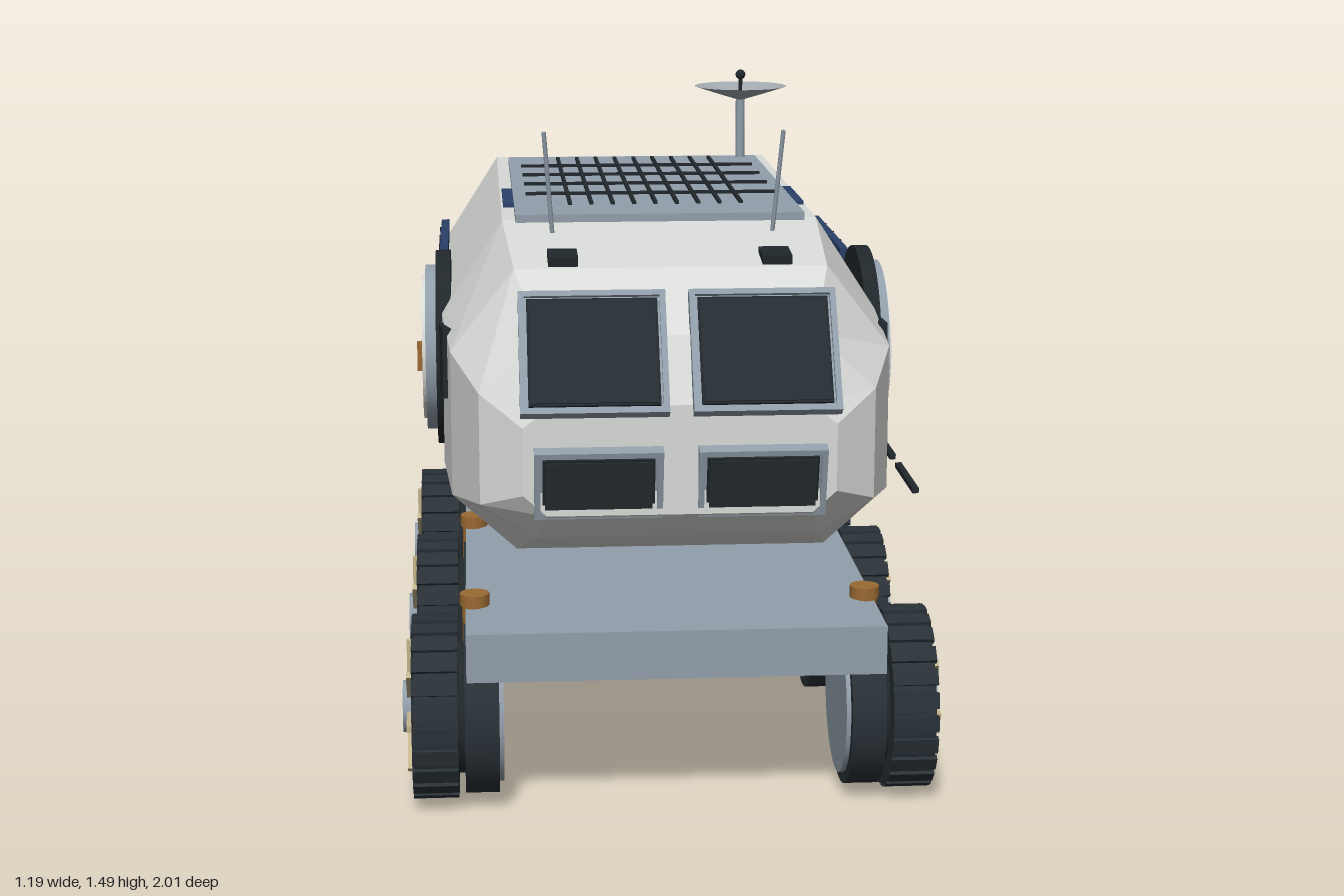
import * as THREE from 'three';

const mat = (name, color, extra = {}) => {
  const m = new THREE.MeshStandardMaterial({ color, ...extra });
  m.name = name;
  return m;
};
const M = {
  hull: mat('hull white', 0xd8dad7, { flatShading: true }),
  grey: mat('blue grey metal', 0x919eaa),
  dish: mat('dish grey', 0xa3abb1, { side: THREE.DoubleSide }),
  dark: mat('dark trim', 0x20272b),
  glass: mat('window glass', 0x262d32),
  tyre: mat('tyre', 0x293137),
  navy: mat('solar navy', 0x2a4068),
  bronze: mat('bronze', 0x9a6a32),
  tan: mat('spoke tan', 0xc2b48c),
};

function add(parent, name, geo, material, x = 0, y = 0, z = 0) {
  const m = new THREE.Mesh(geo, material);
  m.name = name;
  m.position.set(x, y, z);
  parent.add(m);
  return m;
}
const box = (p, name, m, w, h, d, x, y, z) => add(p, name, new THREE.BoxGeometry(w, h, d), m, x, y, z);
// Cylinder whose axis lies along x, between x0 and x1
const discX = (p, name, m, r, x0, x1, y, z, seg = 40) =>
  add(p, name, new THREE.CylinderGeometry(r, r, Math.abs(x1 - x0), seg).rotateZ(Math.PI / 2), m, (x0 + x1) / 2, y, z);
// Round bar between two points
function bar(p, name, m, a, b, r) {
  const A = new THREE.Vector3(...a), B = new THREE.Vector3(...b);
  const o = add(p, name, new THREE.CylinderGeometry(r, r, A.distanceTo(B), 12), m);
  o.position.copy(A).add(B).multiplyScalar(0.5);
  o.quaternion.setFromUnitVectors(new THREE.Vector3(0, 1, 0), B.sub(A).normalize());
  return o;
}

// Faceted cabin lofted through octagonal sections
function hullGeometry() {
  // z, top y, shoulder y, lower y, bottom y, top / middle / bottom half widths
  const sections = [
    [-0.89, 1.14, 0.97, 0.74, 0.605, 0.27, 0.37, 0.27],
    [-0.74, 1.25, 1.03, 0.68, 0.51, 0.36, 0.5, 0.37],
    [0.36, 1.245, 1.03, 0.68, 0.51, 0.36, 0.5, 0.37],
    [0.7, 1.19, 1.01, 0.69, 0.565, 0.34, 0.48, 0.34],
    [0.9, 1.08, 0.96, 0.72, 0.645, 0.29, 0.42, 0.3],
    [0.97, 0.945, 0.9, 0.755, 0.71, 0.27, 0.33, 0.28],
  ].map(([z, t, s, l, b, wt, wm, wb]) => [
    [wb, b, z], [wm, l, z], [wm, s, z], [wt, t, z],
    [-wt, t, z], [-wm, s, z], [-wm, l, z], [-wb, b, z],
  ]);
  const pos = [];
  const tri = (...pts) => pts.forEach((p) => pos.push(...p));
  for (let i = 0; i < sections.length - 1; i++) {
    for (let j = 0; j < 8; j++) {
      const k = (j + 1) % 8, s = sections[i], n = sections[i + 1];
      tri(s[j], s[k], n[k]);
      tri(s[j], n[k], n[j]);
    }
  }
  const back = sections[0], front = sections[sections.length - 1];
  for (let j = 1; j < 7; j++) {
    tri(front[0], front[j], front[j + 1]);
    tri(back[0], back[j + 1], back[j]);
  }
  const g = new THREE.BufferGeometry();
  g.setAttribute('position', new THREE.Float32BufferAttribute(pos, 3));
  g.computeVertexNormals();
  return g;
}

// Twin wheel with treads, spokes and suspension post; s is the side sign
function wheel(s, z) {
  const g = new THREE.Group();
  g.name = 'wheel';
  const y = 0.205;
  discX(g, 'outerTyre', M.tyre, 0.197, s * 0.475, s * 0.57, y, z);
  discX(g, 'innerTyre', M.tyre, 0.195, s * 0.385, s * 0.46, y, z);
  discX(g, 'wheelCore', M.dark, 0.15, s * 0.455, s * 0.48, y, z);
  discX(g, 'innerDisc', M.grey, 0.17, s * 0.375, s * 0.39, y, z);
  discX(g, 'wheelFace', M.dark, 0.16, s * 0.56, s * 0.576, y, z);
  discX(g, 'hub', M.grey, 0.058, s * 0.56, s * 0.597, y, z, 24);
  for (let i = 0; i < 8; i++) {
    const a = (i * Math.PI) / 4;
    const spoke = box(g, 'spoke', M.tan, 0.016, 0.1, 0.014, s * 0.579, y + 0.105 * Math.cos(a), z + 0.105 * Math.sin(a));
    spoke.rotation.x = a;
  }
  for (let i = 0; i < 24; i++) {
    const a = (i * Math.PI) / 12;
    const tread = box(g, 'tread', M.tyre, 0.1, 0.014, 0.036, s * 0.525, y + 0.197 * Math.cos(a), z + 0.197 * Math.sin(a));
    tread.rotation.x = a;
  }
  bar(g, 'suspensionPost', M.bronze, [s * 0.438, 0.25, z], [s * 0.438, 0.445, z], 0.025);
  bar(g, 'postCap', M.bronze, [s * 0.435, 0.438, z], [s * 0.435, 0.465, z], 0.033);
  return g;
}

// Framed front window tilted about x
function frontWindow(name, x, y, z, w, h, tilt, border) {
  const g = new THREE.Group();
  g.name = name;
  g.position.set(x, y, z);
  g.rotation.x = tilt;
  box(g, 'windowBacking', M.grey, w, h, 0.02, 0, 0, 0);
  for (const s of [-1, 1]) {
    box(g, 'frameSide', M.grey, border * 0.5, h, 0.03, s * (w / 2 - border / 4), 0, 0.005);
    box(g, 'frameRail', M.grey, w, border * 0.5, 0.03, 0, s * (h / 2 - border / 4), 0.005);
  }
  box(g, 'windowTrim', M.dark, w - border * 1.4, h - border * 1.4, 0.01, 0, 0, 0.012);
  box(g, 'windowPane', M.glass, w - border * 1.8, h - border * 1.8, 0.008, 0, 0, 0.016);
  return g;
}

// Round hatch, side window and solar array for one flank
function flank(s) {
  const g = new THREE.Group();
  g.name = s > 0 ? 'leftFlank' : 'rightFlank';
  discX(g, 'hatchSeal', M.dark, 0.23, s * 0.48, s * 0.515, 0.912, 0.155, 48);
  discX(g, 'hatchRing', M.grey, 0.195, s * 0.5, s * 0.54, 0.912, 0.155, 48);
  discX(g, 'hatchDoor', M.hull, 0.17, s * 0.52, s * 0.548, 0.912, 0.155, 48);
  box(g, 'hatchHandle', M.bronze, 0.016, 0.07, 0.014, s * 0.553, 0.907, 0.24);
  const win = box(g, 'sideWindow', M.dark, 0.02, 0.155, 0.15, s * 0.492, 0.95, 0.5);
  win.rotation.set(-0.1, -s * 0.06, 0);
  box(g, 'solarBacking', M.navy, 0.02, 0.34, 0.55, s * 0.5, 0.92, -0.415);
  for (let i = 1; i < 4; i++) {
    box(g, 'cellDivider', M.dark, 0.004, 0.34, 0.008, s * 0.511, 0.92, -0.14 - i * 0.1375);
  }
  return g;
}

export function createModel() {
  const root = new THREE.Group();
  root.name = 'rover';
  add(root, 'hull', hullGeometry(), M.hull);
  box(root, 'chassis', M.grey, 0.91, 0.108, 1.745, 0, 0.38, 0.035);

  // Running gear, flanks and paired details
  for (const s of [1, -1]) {
    for (const z of [0.7, 0.04, -0.62]) root.add(wheel(s, z));
    bar(root, 'axleRod', M.bronze, [s * 0.445, 0.31, 0.7], [s * 0.445, 0.31, -0.62], 0.014);
    root.add(flank(s));
    root.add(frontWindow('windscreen', s * 0.18, 1.045, 0.92, 0.31, 0.275, -0.577, 0.025));
    root.add(frontWindow('lowerWindow', s * 0.172, 0.782, 0.965, 0.27, 0.155, 0.26, 0.025));
    bar(root, 'whipAntenna', M.grey, [s * 0.248, 1.22, 0.452], [s * 0.267, 1.46, 0.49], 0.005);
    box(root, 'roofLamp', M.dark, 0.065, 0.03, 0.085, s * 0.233, 1.2, 0.648).rotation.x = 0.08;
  }

  // Roof radiator with its grid
  box(root, 'radiator', M.grey, 0.66, 0.018, 1.04, 0, 1.252, -0.13);
  box(root, 'roofSolarStrip', M.navy, 0.71, 0.008, 0.26, 0, 1.252, 0.05);
  for (let i = 0; i < 9; i++) box(root, 'radiatorFin', M.dark, 0.009, 0.008, 0.84, -0.2 + i * 0.05, 1.263, -0.18);
  for (let i = 0; i < 4; i++) box(root, 'radiatorBar', M.dark, 0.6, 0.008, 0.01, 0, 1.264, -0.44 + i * 0.17);

  // Rear docking port
  const port = (name, m, r, z0, z1) =>
    add(root, name, new THREE.CylinderGeometry(r, r, z0 - z1, 48).rotateX(Math.PI / 2), m, 0, 0.85, (z0 + z1) / 2);
  port('dockingCollar', M.grey, 0.215, -0.87, -0.977);
  port('dockingDoor', M.hull, 0.185, -0.96, -1);

  // Dish antenna
  const x = 0.287, z = -0.62;
  bar(root, 'dishMast', M.grey, [x, 1.24, z], [x, 1.415, z], 0.012);
  const profile = [[0.001, 1.412], [0.06, 1.43], [0.122, 1.45]].map((p) => new THREE.Vector2(...p));
  add(root, 'dish', new THREE.LatheGeometry(profile, 20), M.dish, x, 0, z);
  bar(root, 'dishFeed', M.dark, [x, 1.41, z], [x, 1.48, z], 0.005);
  add(root, 'dishTip', new THREE.SphereGeometry(0.013, 16, 12), M.dark, x, 1.48, z);

  // Dashed handrail along the left side only
  for (let i = 0; i < 5; i++) box(root, 'handrail', M.dark, 0.014, 0.012, 0.23, 0.526, 0.71, 0.695 - i * 0.306);
  return root;
}
